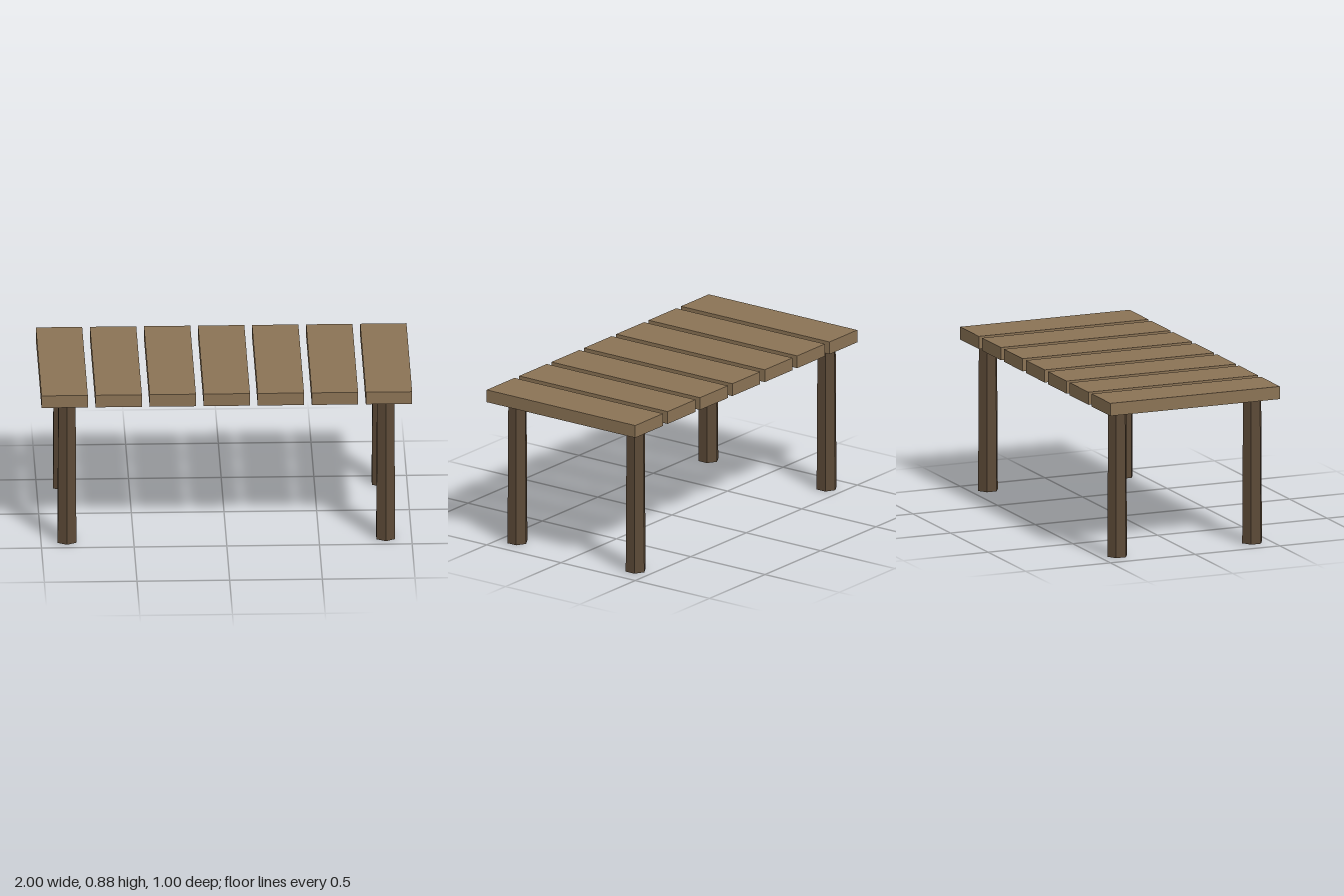
import * as THREE from 'three';

export function createModel() {
  const model = new THREE.Group();
  const plankMaterial = new THREE.MeshStandardMaterial({ color: 0x8b7355, flatShading: true });
  const legMaterial = new THREE.MeshStandardMaterial({ color: 0x5c4a37, flatShading: true });

  const legHeight = 0.813;
  const plankThickness = 0.07;
  const plankWidth = 0.25;
  const plankCount = 7;

  // Evenly spaced planks forming the top
  const plankGeometry = new THREE.BoxGeometry(plankWidth, plankThickness, 1);
  const pitch = (2 - plankWidth) / (plankCount - 1);
  for (let i = 0; i < plankCount; i++) {
    const plank = new THREE.Mesh(plankGeometry, plankMaterial);
    plank.name = `plank${i + 1}`;
    plank.position.set((i - (plankCount - 1) / 2) * pitch, legHeight + plankThickness / 2, 0);
    model.add(plank);
  }

  // Four slightly tapered six-sided legs
  const legGeometry = new THREE.CylinderGeometry(0.0535, 0.0583, legHeight, 6);
  for (const x of [-1, 1]) {
    for (const z of [-1, 1]) {
      const leg = new THREE.Mesh(legGeometry, legMaterial);
      leg.name = (z > 0 ? 'front' : 'back') + (x > 0 ? 'Left' : 'Right') + 'Leg';
      leg.position.set(x * 0.86, legHeight / 2, z * 0.398);
      model.add(leg);
    }
  }

  return model;
}
